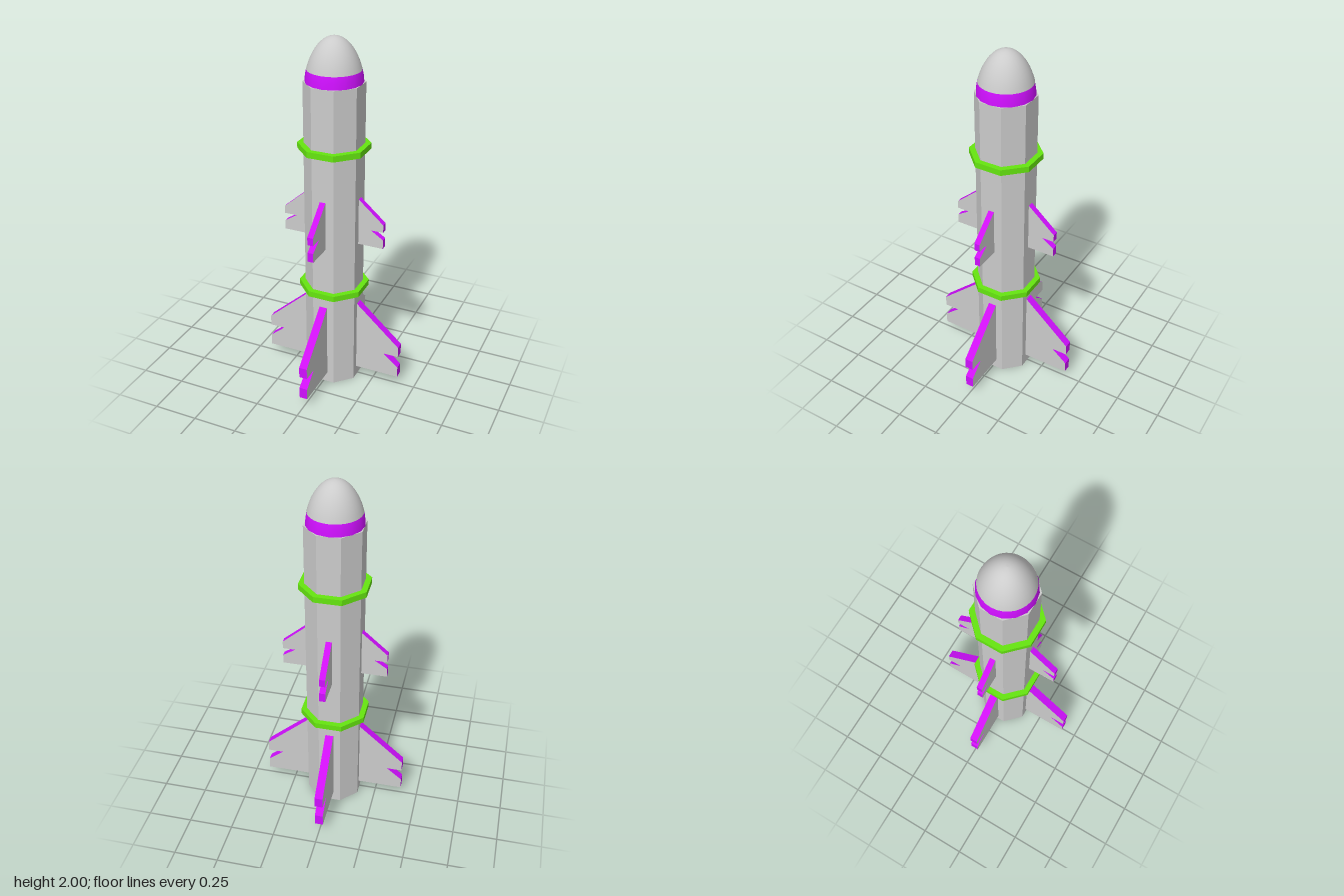
import * as THREE from 'three';

const grey = new THREE.MeshStandardMaterial({ color: 0xcccccc });
const greyFlat = new THREE.MeshStandardMaterial({ color: 0xcccccc, flatShading: true });
const purple = new THREE.MeshStandardMaterial({ color: 0xd010ff });
const green = new THREE.MeshStandardMaterial({ color: 0x66e610, flatShading: true });

// Octagonal prism with flats facing the axes; apothem is the distance to a flat
function octagon(name, apothem, bottom, top, material) {
  const r = apothem / Math.cos(Math.PI / 8);
  const geo = new THREE.CylinderGeometry(r, r, top - bottom, 8, 1, false, Math.PI / 8);
  geo.translate(0, (bottom + top) / 2, 0);
  const mesh = new THREE.Mesh(geo, material);
  mesh.name = name;
  return mesh;
}

// Slice of the nose profile between two heights
const NOSE_BASE = 1.765, NOSE_TOP = 2, NOSE_RADIUS = 0.152;
function noseSlice(name, from, to, steps, segments, material) {
  const points = [];
  for (let i = 0; i <= steps; i++) {
    // Steps crowd toward the upper end so the tip stays round
    const y = from + (to - from) * Math.sin((i / steps) * Math.PI / 2);
    const t = (y - NOSE_BASE) / (NOSE_TOP - NOSE_BASE);
    points.push(new THREE.Vector2(NOSE_RADIUS * Math.sqrt(Math.max(0, 1 - t ** 1.65)), y));
  }
  const mesh = new THREE.Mesh(new THREE.LatheGeometry(points, segments), material);
  mesh.name = name;
  return mesh;
}

// Four notched fins: grey faces, purple edges
function finSet(name, outline, thickness) {
  const set = new THREE.Group();
  set.name = name + 's';
  const shape = new THREE.Shape(outline.map(([x, y]) => new THREE.Vector2(x, y)));
  const geo = new THREE.ExtrudeGeometry(shape, { depth: thickness, bevelEnabled: false });
  geo.translate(0, 0, -thickness / 2);
  for (let i = 0; i < 4; i++) {
    const pivot = new THREE.Group();
    const fin = new THREE.Mesh(geo, [grey, purple]);
    fin.name = name;
    // The front and back fins stand slightly further out
    fin.position.x = i % 2 ? 0.012 : 0;
    pivot.rotation.y = i * Math.PI / 2;
    pivot.add(fin);
    set.add(pivot);
  }
  return set;
}

export function createModel() {
  const model = new THREE.Group();
  model.name = 'rocket';

  // Body and clamp rings
  model.add(octagon('body', 0.15, 0, NOSE_BASE, greyFlat));
  model.add(octagon('lowerRing', 0.18, 0.57, 0.603, green));
  model.add(octagon('upperRing', 0.18, 1.4, 1.433, green));

  // Nose with coloured band
  model.add(noseSlice('noseBand', NOSE_BASE, 1.83, 3, 16, purple));
  model.add(noseSlice('noseCone', 1.83, NOSE_TOP, 12, 32, grey));

  // Fins, root edges set just inside the body
  model.add(finSet('tailFin', [
    [0.135, 0.06], [0.405, 0.06], [0.405, 0.125], [0.318, 0.198],
    [0.405, 0.198], [0.405, 0.26], [0.135, 0.502],
  ], 0.046));
  model.add(finSet('middleFin', [
    [0.135, 0.87], [0.293, 0.87], [0.293, 0.922], [0.222, 0.968],
    [0.293, 0.968], [0.293, 1.012], [0.135, 1.15],
  ], 0.033));

  return model;
}
